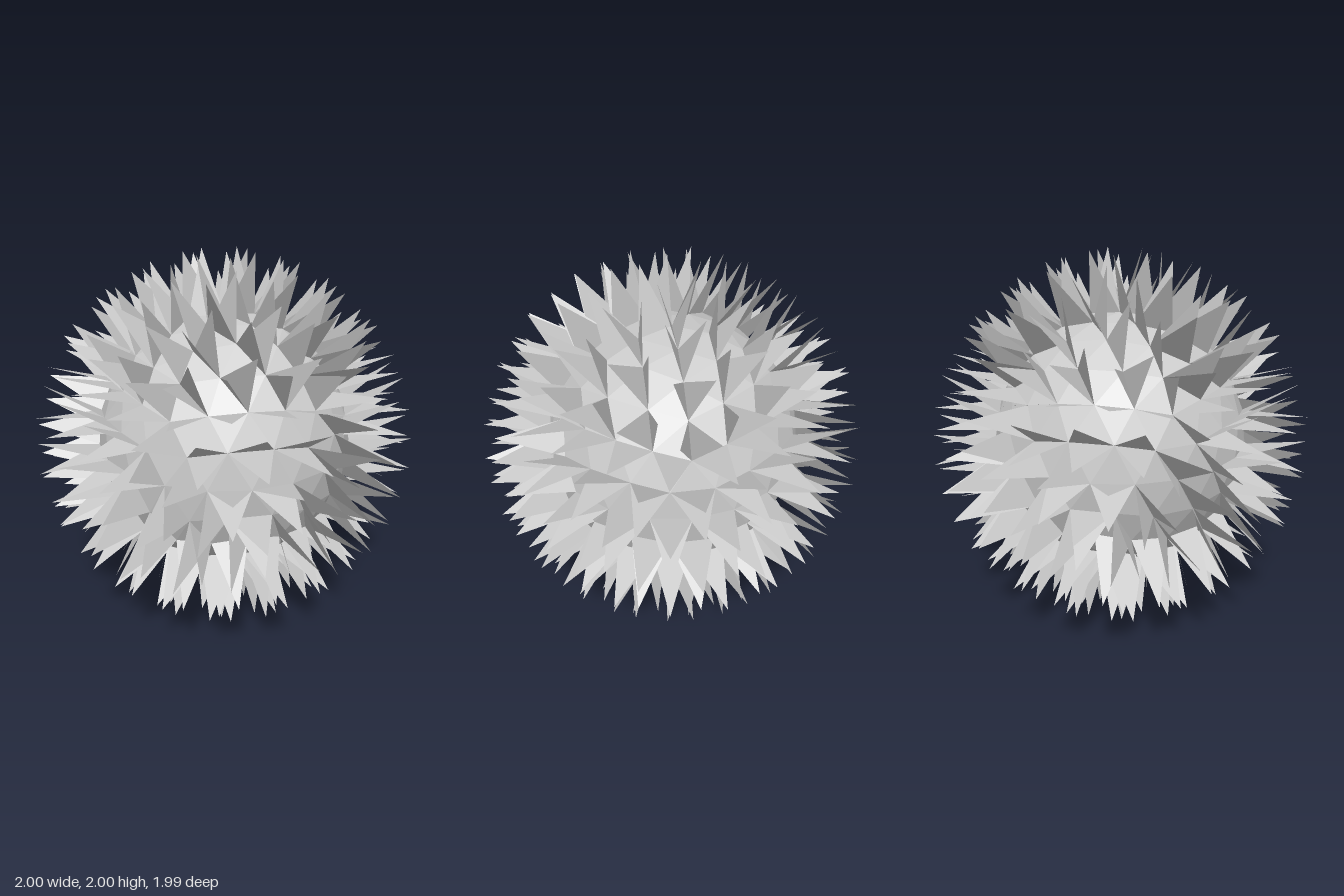
import * as THREE from 'three';

// Icosahedron standing on a vertex: two poles and two staggered rings of five.
// The first two corners of each face give the direction its fins run along.
function icosahedronFaces() {
  const top = new THREE.Vector3(0, 1, 0);
  const bottom = new THREE.Vector3(0, -1, 0);
  const ring = (y, start) => Array.from({ length: 5 }, (_, i) => {
    const a = start + (i * 2 * Math.PI) / 5;
    const r = 2 / Math.sqrt(5);
    return new THREE.Vector3(r * Math.cos(a), y, -r * Math.sin(a));
  });
  const upper = ring(1 / Math.sqrt(5), 0);
  const lower = ring(-1 / Math.sqrt(5), Math.PI / 5);
  const faces = [];
  for (let i = 0; i < 5; i++) {
    const j = (i + 1) % 5;
    // a few faces on the +x side run their fins another way
    faces.push(i === 0 ? [top, upper[i], upper[j]] : [upper[j], top, upper[i]]);
    faces.push([upper[j], upper[i], lower[i]]);
    faces.push(i === 4 ? [lower[i], lower[j], upper[j]] : [lower[j], upper[j], lower[i]]);
    faces.push(i === 4 ? [bottom, lower[j], lower[i]] : [lower[j], lower[i], bottom]);
  }
  return faces;
}

// Split each triangle in four on the unit sphere, keeping the fin direction
function subdivide(faces) {
  const mid = (p, q) => p.clone().add(q).normalize();
  return faces.flatMap(([a, b, c]) => {
    const ab = mid(a, b), bc = mid(b, c), ca = mid(c, a);
    return [[a, ab, ca], [ab, b, bc], [ca, bc, c], [bc, ca, ab]];
  });
}

function makeMesh(name, points, material) {
  const geometry = new THREE.BufferGeometry().setFromPoints(points);
  geometry.computeVertexNormals();
  const mesh = new THREE.Mesh(geometry, material);
  mesh.name = name;
  return mesh;
}

export function createModel() {
  const coreRadius = 0.681;
  const finHeight = 0.5 * coreRadius;
  const faces = subdivide(subdivide(icosahedronFaces()));

  // Faceted core, with one pointed fin rising from an edge of every facet
  const core = [];
  const fins = [];
  for (const face of faces) {
    const [a, b, c] = face.map((p) => p.clone().multiplyScalar(coreRadius));
    const triangle = new THREE.Triangle(a, b, c);
    const tip = triangle.getMidpoint(new THREE.Vector3())
      .addScaledVector(triangle.getNormal(new THREE.Vector3()), finHeight);
    core.push(a, b, c);
    fins.push(a, b, tip);
  }

  const material = new THREE.MeshStandardMaterial({
    color: 0xcccccc, flatShading: true, side: THREE.DoubleSide,
  });
  const model = new THREE.Group();
  model.name = 'spikyBall';
  model.add(makeMesh('core', core, material), makeMesh('pointedFins', fins, material));

  // Rest the lowest tips on the ground
  const lowest = new THREE.Box3().setFromObject(model).min.y;
  for (const part of model.children) part.position.y = -lowest;
  return model;
}
